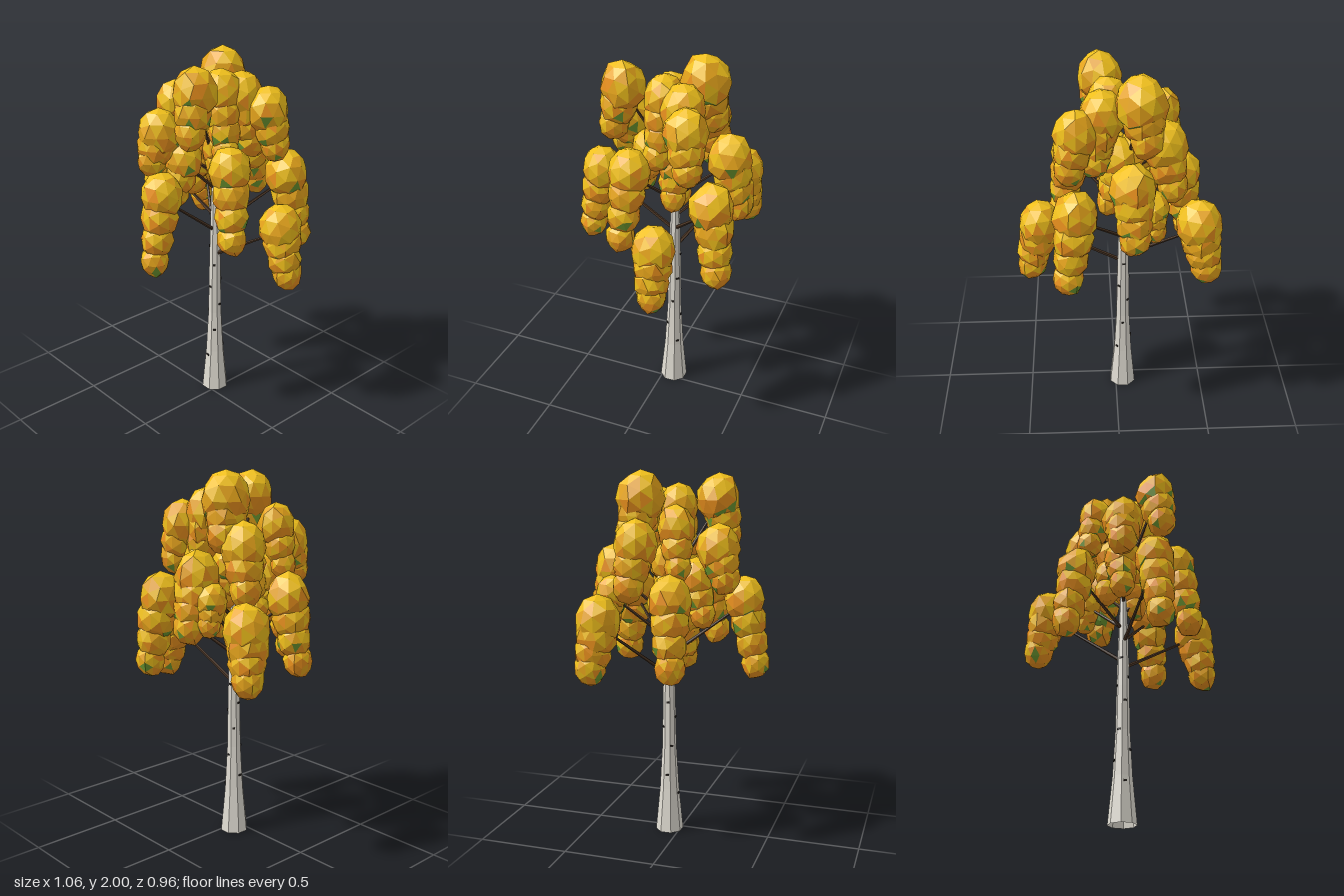
import * as THREE from 'three';
import { mergeGeometries } from 'three/addons/utils/BufferGeometryUtils.js';

const flat = (color) => new THREE.MeshStandardMaterial({ color, flatShading: true });
const trunkX = -0.04, trunkZ = -0.06;
const stretch = 1.19, taper = 0.3;

// Leaf clumps: [x, z, radius, top, bottom]
const clumps = [
  [-0.41, -0.318, 0.119, 1.39, 0.92],
  [-0.075, -0.345, 0.117, 1.61, 1.13],
  [-0.17, -0.33, 0.085, 1.46, 1.18],
  [0.212, -0.352, 0.116, 1.47, 0.9],
  [0.4, -0.115, 0.113, 1.28, 0.81],
  [0.2, -0.205, 0.112, 1.84, 1.44],
  [0.228, 0.085, 0.11, 1.59, 1.02],
  [0.073, 0.182, 0.115, 1.98, 1.56],
  [0.005, 0.345, 0.108, 1.46, 0.9],
  [-0.14, 0.238, 0.113, 1.74, 1.37],
  [-0.24, 0.045, 0.098, 1.83, 1.44],
  [-0.34, 0.042, 0.112, 1.49, 0.94],
  [-0.12, -0.185, 0.127, 2.0, 1.58],
  [-0.235, -0.175, 0.117, 1.76, 1.32],
  [0.072, -0.138, 0.117, 1.91, 1.45],
  [0.04, -0.03, 0.108, 1.93, 1.42],
  [-0.1, 0.11, 0.1, 1.56, 1.18],
  [-0.11, -0.03, 0.1, 1.64, 1.2],
  [-0.015, -0.065, 0.1, 1.62, 1.17],
];

// Seeded random numbers
let seed = 7;
const rand = () => {
  seed = (seed * 16807) % 2147483647;
  return seed / 2147483647;
};

// Uneven faceted ball
function leafBall(x, y, z, r) {
  const geo = new THREE.IcosahedronGeometry(1, 1);
  geo.deleteAttribute('uv');
  const p = geo.attributes.position;
  const phase = rand() * 20;
  for (let i = 0; i < p.count; i++) {
    const a = p.getX(i), b = p.getY(i), c = p.getZ(i);
    const k = 1 + 0.07 * Math.sin(7 * a + 5 * b + phase) * Math.cos(6 * c - 4 * b + phase);
    p.setXYZ(i, a * k, b * k, c * k);
  }
  geo.rotateY(phase);
  geo.scale(r, r * stretch, r);
  geo.translate(x, y, z);
  return geo;
}

// Sort facets into leaf colours: gold above, orange below, a little green
function sortFacets(geo, bins) {
  const p = geo.attributes.position;
  const t = new THREE.Triangle(), n = new THREE.Vector3();
  for (let i = 0; i < p.count; i += 3) {
    t.setFromAttributeAndIndices(p, i, i + 1, i + 2);
    t.getNormal(n);
    const tone = n.y + (rand() - 0.5) * 1.2;
    let bin = tone > 0.25 ? 0 : tone > -0.3 ? 1 : 2;
    if (n.y < -0.1 && rand() < 0.07) bin = 3;
    for (const v of [t.a, t.b, t.c]) bins[bin].push(v.x, v.y, v.z);
  }
}

// Tapered rod between two points
function rod(from, to, r0, r1, sides) {
  const dir = to.clone().sub(from);
  const geo = new THREE.CylinderGeometry(r1, r0, dir.length(), sides);
  geo.applyQuaternion(new THREE.Quaternion().setFromUnitVectors(
    new THREE.Vector3(0, 1, 0), dir.clone().normalize()));
  const mid = from.clone().add(to).multiplyScalar(0.5);
  return geo.translate(mid.x, mid.y, mid.z);
}

// Trunk outline as [radius, height], and its radius at any height
const outline = [[0.077, 0], [0.053, 0.25], [0.039, 0.5], [0.035, 0.75], [0.029, 1], [0.021, 1.25], [0.01, 1.5]];
function trunkRadius(y) {
  const i = outline.findIndex(([, h]) => h > y);
  const [r0, h0] = outline[i - 1], [r1, h1] = outline[i];
  return THREE.MathUtils.mapLinear(y, h0, h1, r0, r1);
}

export function createModel() {
  const tree = new THREE.Group();
  tree.name = 'autumnTree';
  const add = (name, geo, color) => {
    const mesh = new THREE.Mesh(geo, flat(color));
    mesh.name = name;
    tree.add(mesh);
    return mesh;
  };

  // Eight-sided trunk, flared at the foot and open below
  const profile = outline.map(([r, y]) => new THREE.Vector2(r, y));
  const trunk = new THREE.LatheGeometry(profile, 8, Math.PI / 8);
  trunk.translate(trunkX, 0, trunkZ);
  add('trunk', trunk, 0xe2ded4).material.side = THREE.DoubleSide;

  // Dark bark marks lying on the trunk faces
  const marks = [];
  for (let i = 0; i < 14; i++) {
    const y = 0.22 + i * 0.052 + rand() * 0.03;
    const mark = new THREE.BoxGeometry(0.012 + rand() * 0.008, 0.01, 0.008);
    mark.translate((rand() - 0.5) * 0.01, y, trunkRadius(y) * 0.93);
    mark.rotateY(Math.PI / 4 * ((i * 3) % 8));
    marks.push(mark.translate(trunkX, 0, trunkZ));
  }
  add('barkMarks', mergeGeometries(marks), 0x2b2622);

  // Hanging chains of leaf balls, each carried by a branch
  const bins = [[], [], [], []];
  const branches = [];
  for (const [x, z, r, top, bottom] of clumps) {
    const out = new THREE.Vector2(x - trunkX, z - trunkZ).normalize();
    const count = top - bottom > 0.45 ? 4 : 3;
    const y0 = top - r * stretch;
    const y1 = bottom + r * (1 - taper) * stretch;
    const drift = 0.11 * (top - bottom);
    for (let i = 0; i < count; i++) {
      const t = i / (count - 1);
      const ball = leafBall(x + out.x * drift * t, THREE.MathUtils.lerp(y0, y1, t),
        z + out.y * drift * t, r * (1 - taper * t));
      sortFacets(ball, bins);
    }
    const reach = Math.hypot(x - trunkX, z - trunkZ);
    const start = new THREE.Vector3(trunkX, THREE.MathUtils.clamp(y0 - 0.08 - reach * 0.6, 0.86, 1.4), trunkZ);
    branches.push(rod(start, new THREE.Vector3(x, y0 - 0.02, z), 0.011, 0.006, 5));
  }
  add('branches', mergeGeometries(branches), 0x4f3826);

  // One mesh per leaf colour
  const tones = [['goldLeaves', 0xf0c01c], ['amberLeaves', 0xe8a61c],
    ['orangeLeaves', 0xec921e], ['greenLeaves', 0x6b9630]];
  tones.forEach(([name, color], i) => {
    const geo = new THREE.BufferGeometry();
    geo.setAttribute('position', new THREE.Float32BufferAttribute(bins[i], 3));
    geo.computeVertexNormals();
    add(name, geo, color);
  });

  return tree;
}
